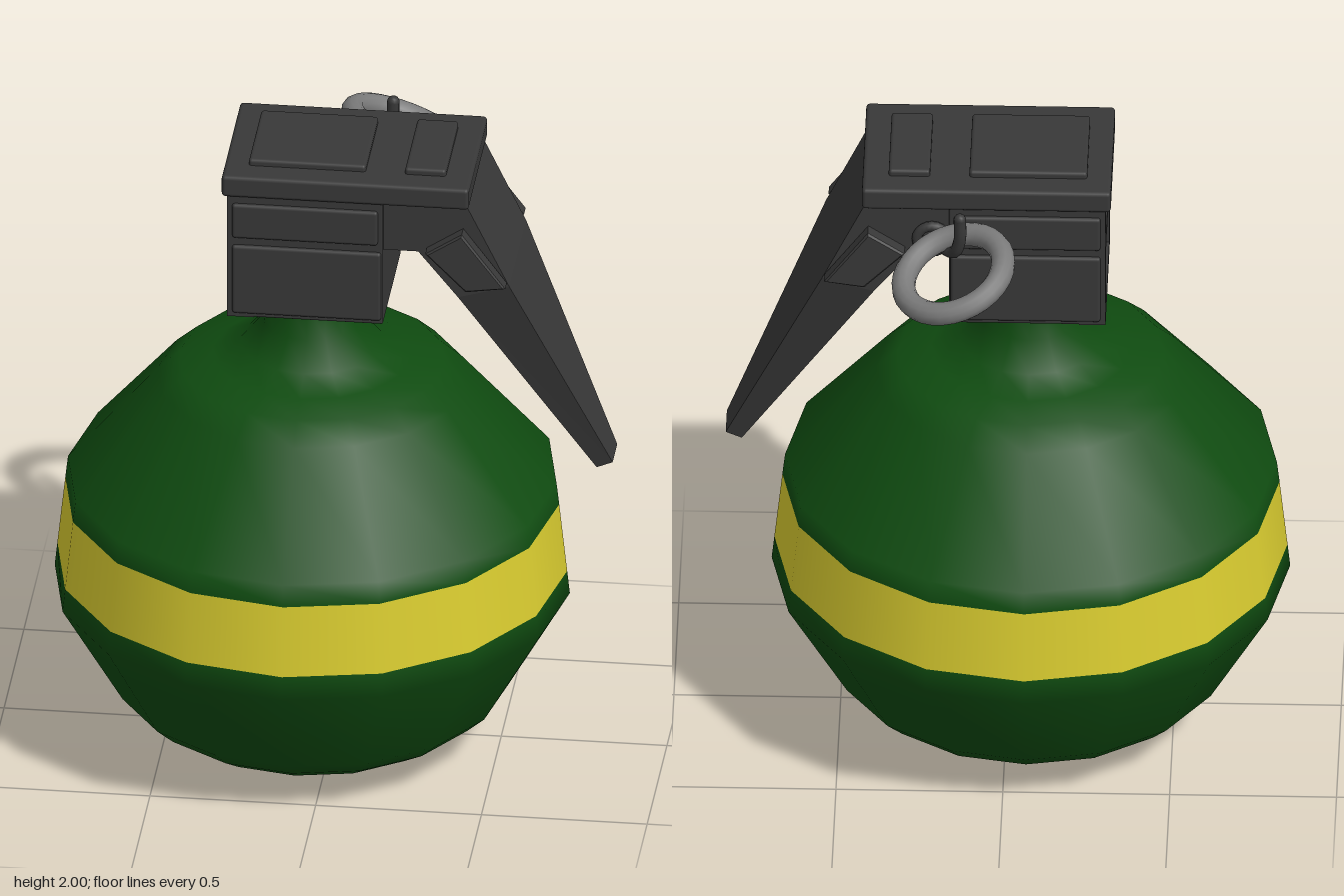
import * as THREE from 'three';
import { RoundedBoxGeometry } from 'three/addons/geometries/RoundedBoxGeometry.js';

const mat = (name, color, side = THREE.FrontSide) => {
  const m = new THREE.MeshStandardMaterial({ color, side });
  m.name = name;
  return m;
};

export function createModel() {
  const green = mat('body green', 0x0f4b10);
  const yellow = mat('band yellow', 0xdacd30);
  const dark = mat('dark metal', 0x383838);
  const grey = mat('ring grey', 0x7c7c7c);
  const model = new THREE.Group();
  model.name = 'grenade';

  const add = (name, geometry, material, x = 0, y = 0, z = 0) => {
    const mesh = new THREE.Mesh(geometry, material);
    mesh.name = name;
    mesh.position.set(x, y, z);
    model.add(mesh);
    return mesh;
  };
  // rounded box given by its limits
  const box = (name, x0, x1, y0, y1, z0, z1, r = 0.01) =>
    add(name, new RoundedBoxGeometry(x1 - x0, y1 - y0, z1 - z0, 2, r), dark,
      (x0 + x1) / 2, (y0 + y1) / 2, (z0 + z1) / 2);
  const shape = (pts) => new THREE.Shape(pts.map(([x, y]) => new THREE.Vector2(x, y)));

  // sixteen-sided body, turned in three pieces
  const lathe = (name, pts, material) =>
    add(name, new THREE.LatheGeometry(pts.map(([r, y]) => new THREE.Vector2(r, y)), 16), material, -0.07);
  lathe('lowerBody', [[0, 0], [0.2, 0.004], [0.34, 0.025], [0.45, 0.07], [0.53, 0.12],
    [0.59, 0.175], [0.777, 0.5], [0.769, 0.575]], green);
  lathe('band', [[0.769, 0.575], [0.745, 0.8]], yellow);
  lathe('upperBody', [[0.745, 0.8], [0.737, 0.87], [0.465, 1.19], [0.4, 1.25], [0.3, 1.27],
    [0.215, 1.31], [0.15, 1.39], [0.137, 1.5], [0.137, 1.55]], green);

  // fuse block with raised side panels
  box('fuseBlock', -0.23, 0.17, 1.5, 1.92, -0.226, 0.226, 0.006);
  for (const s of [1, -1]) {
    const za = s > 0 ? 0.21 : -0.238, zb = s > 0 ? 0.238 : -0.21;
    box('upperSidePanel', -0.285, 0.155, 1.77, 1.885, za, zb);
    box('lowerSidePanel', -0.285, 0.165, 1.515, 1.745, za, zb);
  }

  // end frame with two open pockets
  const frame = shape([[-0.226, 1.5], [0.226, 1.5], [0.226, 1.92], [-0.226, 1.92]]);
  for (const [y0, y1] of [[1.53, 1.735], [1.78, 1.88]]) {
    frame.holes.push(shape([[-0.18, y0], [-0.18, y1], [0.18, y1], [0.18, y0]]));
  }
  const frameGeo = new THREE.ExtrudeGeometry(frame, { depth: 0.08, bevelEnabled: false });
  frameGeo.rotateY(-Math.PI / 2);
  add('pocketFrame', frameGeo, dark, -0.22);

  // top cap and its raised pads
  box('cap', -0.316, 0.43, 1.91, 1.98, -0.24, 0.24, 0.012);
  box('largePad', -0.243, 0.11, 1.96, 2, -0.16, 0.16);
  box('smallPad', 0.228, 0.352, 1.96, 2, -0.16, 0.16);

  // lever lofted through four rectangular sections: top x, y, bottom x, y, half width
  const sections = [
    [0.16, 1.915, 0.16, 1.75, 0.215],
    [0.42, 1.915, 0.275, 1.75, 0.215],
    [0.55, 1.645, 0.395, 1.6, 0.212],
    [0.843, 0.985, 0.795, 0.965, 0.058],
  ];
  const corners = sections.map(([tx, ty, bx, by, w]) =>
    [[tx, ty, w], [tx, ty, -w], [bx, by, -w], [bx, by, w]]);
  const verts = [];
  const quad = (a, b, c, d) => [a, b, c, a, c, d].forEach((p) => verts.push(...p));
  for (let i = 0; i < corners.length - 1; i++) {
    const p = corners[i], q = corners[i + 1];
    for (let k = 0; k < 4; k++) {
      const n = (k + 1) % 4;
      quad(p[k], q[k], q[n], p[n]);
    }
  }
  const end = corners[3];
  quad(end[0], end[3], end[2], end[1]);
  const lever = new THREE.BufferGeometry();
  lever.setAttribute('position', new THREE.Float32BufferAttribute(verts, 3));
  lever.computeVertexNormals();
  add('lever', lever, dark);

  // lugs on both sides of the lever
  const lug = shape([[0.31, 1.765], [0.425, 1.65], [0.535, 1.665], [0.41, 1.83]]);
  for (const s of [1, -1]) {
    add('leverLug', new THREE.ExtrudeGeometry(lug, {
      depth: 0.04, bevelSize: 0.006, bevelThickness: 0.006, bevelSegments: 1,
    }), dark, 0, 0, s > 0 ? 0.218 : -0.258);
  }

  // pin, its eye and the pull ring
  const pinPath = new THREE.CatmullRomCurve3([[0.22, 1.8, -0.18], [0.2, 1.8, -0.25],
    [0.15, 1.82, -0.325], [0.133, 1.88, -0.345], [0.133, 1.95, -0.347]]
    .map((p) => new THREE.Vector3(...p)));
  add('pin', new THREE.TubeGeometry(pinPath, 20, 0.019, 10), dark);
  add('pinTip', new THREE.SphereGeometry(0.019, 10, 8), dark, 0.133, 1.95, -0.347);
  add('pinEye', new THREE.TorusGeometry(0.045, 0.016, 8, 20), dark, 0.22, 1.8, -0.225);
  const ring = add('pullRing', new THREE.TorusGeometry(0.158, 0.036, 12, 32), grey, 0.15, 1.815, -0.437);
  ring.quaternion.setFromUnitVectors(new THREE.Vector3(0, 0, 1),
    new THREE.Vector3(0.34, 1, -0.24).normalize());

  return model;
}
